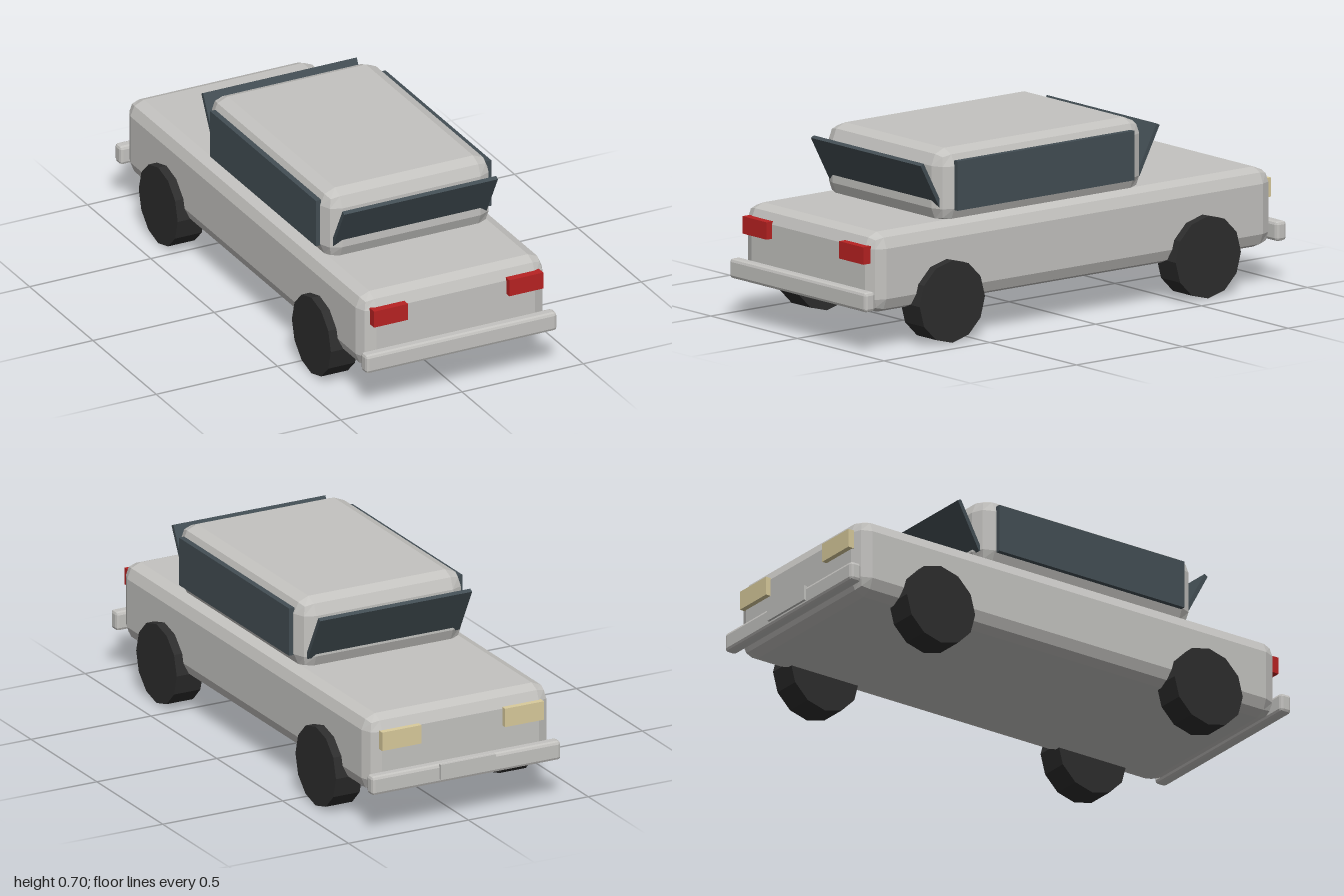
import * as THREE from 'three';
import { RoundedBoxGeometry } from 'three/addons/geometries/RoundedBoxGeometry.js';

const mat = (name, color) => {
  const m = new THREE.MeshStandardMaterial({ color });
  m.name = name;
  return m;
};

export function createModel() {
  const car = new THREE.Group();
  car.name = 'car';

  const paint = mat('silver paint', 0xc4c3c0);
  const glass = mat('dark glass', 0x434e54);
  const rubber = mat('black rubber', 0x2d2d2d);
  const red = mat('red lamp', 0xb82222);
  const cream = mat('cream lamp', 0xd9cb9c);

  const add = (name, geometry, material, x, y, z) => {
    const mesh = new THREE.Mesh(geometry, material);
    mesh.name = name;
    mesh.position.set(x, y, z);
    car.add(mesh);
    return mesh;
  };
  // faceted box with two-step bevels
  const bevelBox = (w, h, d, r) => {
    const g = new RoundedBoxGeometry(w, h, d, 1, r);
    g.computeVertexNormals();
    return g;
  };
  const box = (w, h, d) => new THREE.BoxGeometry(w, h, d);

  // body and cabin
  add('body', bevelBox(0.766, 0.3, 1.89, 0.056), paint, 0, 0.29, 0.004);
  add('cabin', bevelBox(0.69, 0.278, 0.965, 0.06), paint, 0, 0.559, 0.118);

  // bumpers and number plate
  add('frontBumper', bevelBox(0.788, 0.074, 0.048, 0.012), paint, 0, 0.197, 0.976);
  add('rearBumper', bevelBox(0.788, 0.074, 0.048, 0.012), paint, 0, 0.197, -0.966);
  add('numberPlate', box(0.23, 0.058, 0.014), paint, 0, 0.207, -0.993);

  // windscreens lean outwards at the top
  const screen = box(0.634, 0.203, 0.016);
  add('frontWindow', screen, glass, 0, 0.567, 0.622).rotation.x = 0.49;
  add('rearWindow', screen, glass, 0, 0.567, -0.397).rotation.x = -0.49;

  // twelve-sided wheel lying along x
  const wheel = new THREE.CylinderGeometry(0.154, 0.154, 0.11, 12).rotateZ(Math.PI / 2).toNonIndexed();
  wheel.computeVertexNormals();

  for (const [side, s] of [['left', 1], ['right', -1]]) {
    add(side + 'SideWindow', box(0.022, 0.185, 0.836), glass, s * 0.351, 0.567, 0.121);
    add(side + 'FrontLamp', box(0.14, 0.065, 0.036), red, s * 0.279, 0.363, 0.956);
    add(side + 'RearLamp', box(0.163, 0.072, 0.03), cream, s * 0.256, 0.354, -0.946);
    add(side + 'FrontWheel', wheel, rubber, s * 0.362, 0.154, 0.609);
    add(side + 'RearWheel', wheel, rubber, s * 0.362, 0.154, -0.6);
  }
  return car;
}
